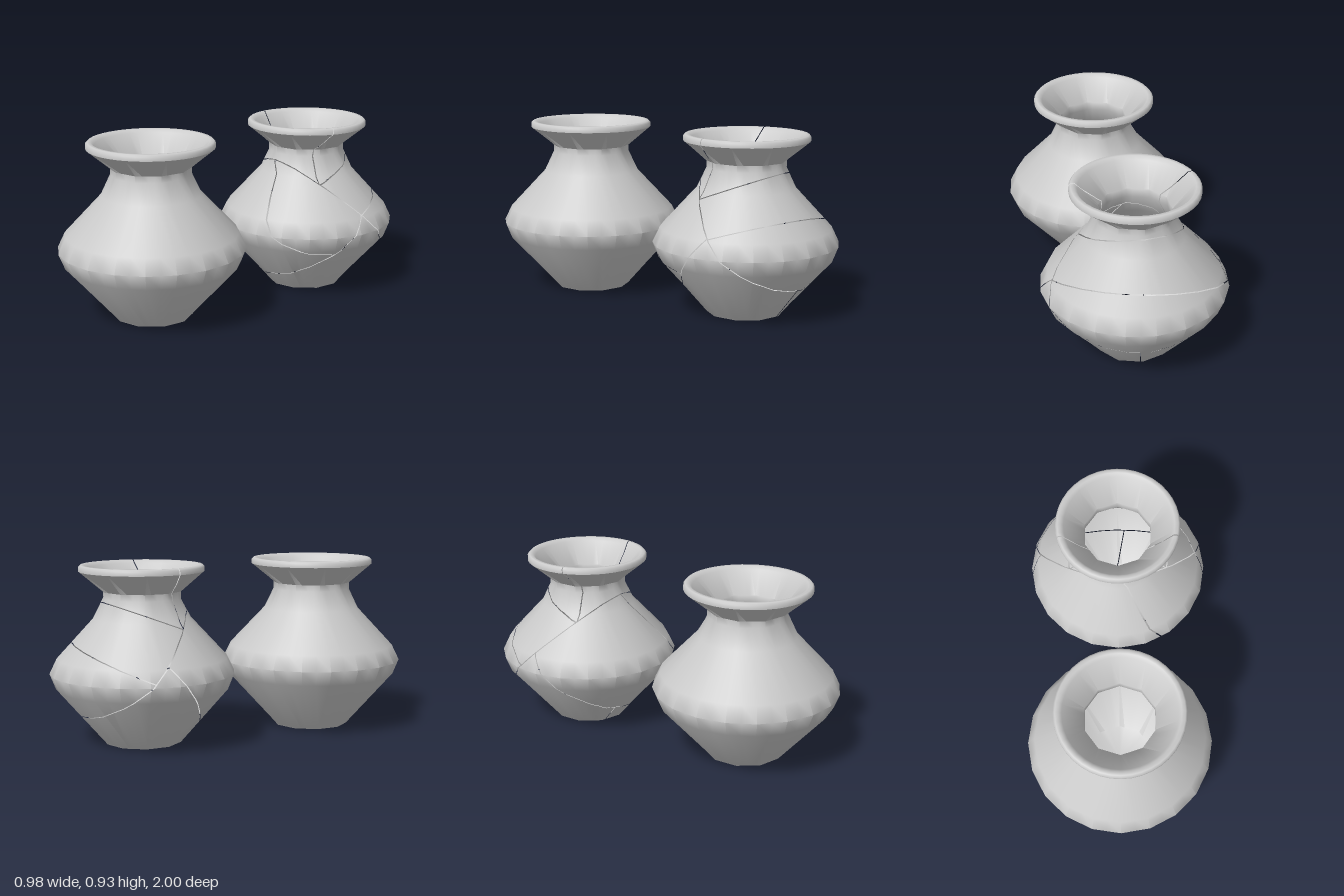
import * as THREE from 'three';
import { toCreasedNormals } from 'three/addons/utils/BufferGeometryUtils.js';

const V = (x, y, z) => new THREE.Vector3(x, y, z);

// [radius, height, sides of that ring]: outside from the base up, then inside down to the floor
const PROFILE = [
  [0, 0, 10], [0.206, 0, 10], [0.214, 0.01, 10], [0.46, 0.29, 20], [0.492, 0.37, 20],
  [0.453, 0.45, 20], [0.26, 0.655, 20], [0.21, 0.76, 10], [0.21, 0.795, 10],
  [0.332, 0.9, 40], [0.332, 0.922, 40], [0.322, 0.932, 40], [0.303, 0.932, 40], [0.288, 0.915, 40],
  [0.187, 0.805, 10], [0.187, 0.76, 10], [0.24, 0.645, 20], [0.43, 0.445, 20],
  [0.466, 0.37, 20], [0.435, 0.295, 20], [0.19, 0.02, 10], [0, 0.02, 10],
];
const SEGMENTS = 40;

// Lathe whose rings are polygons with their own number of sides
function potGeometry() {
  const geo = new THREE.LatheGeometry(PROFILE.map(([r, y]) => new THREE.Vector2(r, y)), SEGMENTS);
  const pos = geo.attributes.position;
  for (let i = 0; i < pos.count; i++) {
    const column = Math.floor(i / PROFILE.length);
    const sides = PROFILE[i % PROFILE.length][2];
    const step = (Math.PI * 2) / sides;
    const angle = (column % SEGMENTS) * (Math.PI * 2 / SEGMENTS);
    const offset = angle - Math.floor(angle / step + 1e-6) * step - step / 2;
    const k = Math.cos(step / 2) / Math.cos(offset);
    pos.setXYZ(i, pos.getX(i) * k, pos.getY(i), pos.getZ(i) * k);
  }
  return toCreasedNormals(geo, THREE.MathUtils.degToRad(49));
}

// Polygons as lists of { p, n } corners, so they can be cut by planes
function toPolygons(geo) {
  const { position, normal } = geo.attributes;
  const polys = [];
  for (let i = 0; i < position.count; i += 3) {
    polys.push([0, 1, 2].map((k) => ({
      p: V().fromBufferAttribute(position, i + k),
      n: V().fromBufferAttribute(normal, i + k),
    })));
  }
  return polys;
}

function clip(polys, plane) {
  const kept = [];
  for (const poly of polys) {
    const out = [];
    poly.forEach((a, i) => {
      const b = poly[(i + 1) % poly.length];
      const da = plane.distanceToPoint(a.p), db = plane.distanceToPoint(b.p);
      if (da >= 0) out.push(a);
      if (da * db < 0) {
        const t = da / (da - db);
        out.push({ p: a.p.clone().lerp(b.p, t), n: a.n.clone().lerp(b.n, t) });
      }
    });
    if (out.length > 2) kept.push(out);
  }
  return kept;
}

function toGeometry(polys) {
  const positions = [], normals = [];
  for (const poly of polys) {
    for (let i = 1; i < poly.length - 1; i++) {
      for (const c of [poly[0], poly[i], poly[i + 1]]) {
        positions.push(...c.p.toArray());
        normals.push(...c.n.clone().normalize().toArray());
      }
    }
  }
  const geo = new THREE.BufferGeometry();
  geo.setAttribute('position', new THREE.Float32BufferAttribute(positions, 3));
  geo.setAttribute('normal', new THREE.Float32BufferAttribute(normals, 3));
  return geo;
}

const through = (a, b, c) => new THREE.Plane().setFromCoplanarPoints(a, b, c);

// Cut running straight across in x through two (z, y) points
const across = (z1, y1, z2, y2) => through(V(0, y1, z1), V(0, y2, z2), V(1, y1, z1));

const GAP = 0.005;

// Both halves of a cut, pulled back to leave a narrow crack
function split(polys, plane) {
  const half = (p) => {
    p.constant -= GAP / 2;
    return clip(polys, p);
  };
  return [half(plane.clone()), half(plane.clone().negate())];
}

// Shards of the cracked pot: each cut divides one earlier piece
function shatter(polys) {
  const [a, b] = split(polys, across(-0.3, 0.72, -0.85, 0.17));
  const height = (piece) => Math.max(...piece.flat().map((c) => c.p.y));
  const [upper, lower] = height(a) > height(b) ? [a, b] : [b, a];

  // lower part: front wall and base
  const [c, d] = split(lower, across(-0.25, 0.09, -0.555, 0.46));
  const [front, base] = height(c) > height(d) ? [c, d] : [d, c];
  const baseShards = split(base, through(V(0.01, 0, -0.72), V(-0.09, 0, -0.35), V(0.01, 1, -0.72)));
  const frontShards = split(front, through(V(0.2, 0.4, -0.07), V(0.315, 0.3, -0.18), V(0.414, 0.26, -0.4)));

  // upper part: neck with rim, and back shoulder
  const [e, f] = split(upper, across(-0.42, 0.625, -0.73, 0.745));
  const [neck, shoulder] = height(e) > height(f) ? [e, f] : [f, e];
  const neckShards = split(neck, across(-0.445, 0.93, -0.4, 0.625));
  const shoulderShards = split(shoulder, through(V(0.45, 0.46, -0.555), V(0.29, 0.52, -0.77), V(0.08, 0.535, -0.877)));

  return { baseShard: baseShards, frontShard: frontShards, neckShard: neckShards, shoulderShard: shoulderShards };
}

export function createModel() {
  const group = new THREE.Group();
  const clay = new THREE.MeshStandardMaterial({ color: 0xcccccc });

  // Whole pot in front
  const whole = new THREE.Mesh(potGeometry(), clay);
  whole.name = 'wholePot';
  whole.position.z = 0.504;
  group.add(whole);

  // Cracked pot behind, made of separate shards
  const cracked = new THREE.Group();
  cracked.name = 'crackedPot';
  const source = potGeometry().scale(0.983, 1, 0.983).translate(0, 0, -0.516);
  for (const [name, pieces] of Object.entries(shatter(toPolygons(source)))) {
    pieces.forEach((piece, i) => {
      const mesh = new THREE.Mesh(toGeometry(piece), clay);
      mesh.name = name + (i + 1);
      cracked.add(mesh);
    });
  }
  group.add(cracked);
  return group;
}
